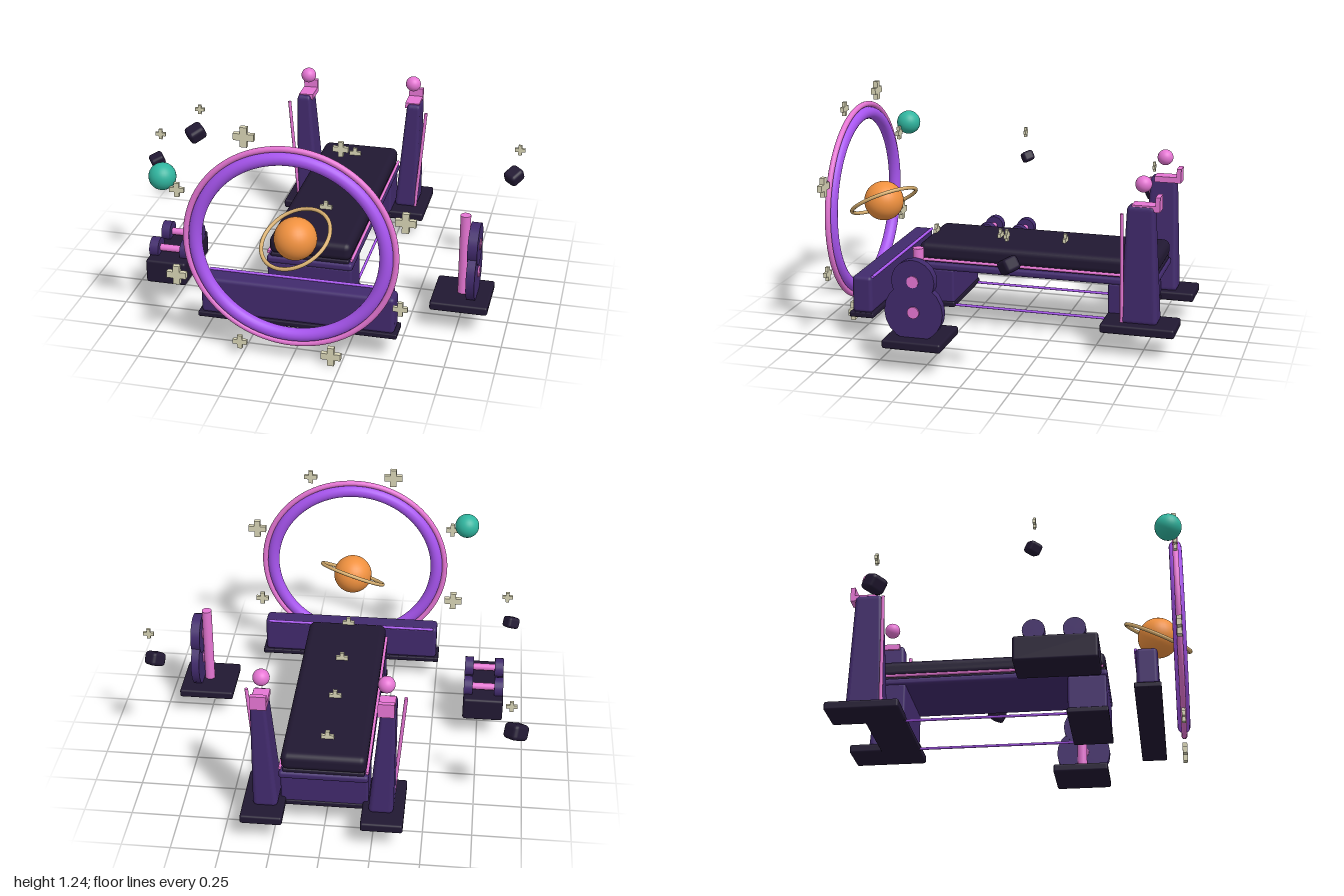
import * as THREE from 'three';
import { RoundedBoxGeometry } from 'three/addons/geometries/RoundedBoxGeometry.js';

const mat = (color) => new THREE.MeshStandardMaterial({ color });
const DARK = mat(0x211832), PURPLE = mat(0x412a6c), VIOLET = mat(0xa855f0), PINK = mat(0xe676d4);
const ORANGE = mat(0xf0913f), TAN = mat(0xd9b070), TEAL = mat(0x30b59f), CREAM = mat(0xd9d5b6);

export function createModel() {
  const model = new THREE.Group();

  function add(name, geometry, material, x = 0, y = 0, z = 0) {
    const mesh = new THREE.Mesh(geometry, material);
    mesh.name = name;
    mesh.position.set(x, y, z);
    model.add(mesh);
    return mesh;
  }
  // Rounded block given by its extents on each axis
  function block(name, material, [x0, x1], [y0, y1], [z0, z1], r = 0.01) {
    const g = new RoundedBoxGeometry(x1 - x0, y1 - y0, z1 - z0, 3, r);
    return add(name, g, material, (x0 + x1) / 2, (y0 + y1) / 2, (z0 + z1) / 2);
  }
  // Straight round bar between two points
  function bar(name, material, a, b, r) {
    const p = new THREE.Vector3(...a), q = new THREE.Vector3(...b);
    const d = q.clone().sub(p);
    const m = add(name, new THREE.CylinderGeometry(r, r, d.length(), 20), material);
    m.position.copy(p).add(q).multiplyScalar(0.5);
    m.quaternion.setFromUnitVectors(new THREE.Vector3(0, 1, 0), d.normalize());
    return m;
  }
  const ball = (name, material, r, x, y, z) =>
    add(name, new THREE.SphereGeometry(r, 32, 20), material, x, y, z);

  // Plus-shaped star, one unit wide
  const w = 0.17, plus = new THREE.Shape();
  [[-w, 0.5], [-w, w], [-0.5, w], [-0.5, -w], [-w, -w], [-w, -0.5],
    [w, -0.5], [w, -w], [0.5, -w], [0.5, w], [w, w], [w, 0.5]]
    .forEach(([x, y], i) => (i ? plus.lineTo(x, y) : plus.moveTo(x, y)));
  const starGeometry = new THREE.ExtrudeGeometry(plus, { depth: 0.25, bevelEnabled: false });
  starGeometry.translate(0, 0, -0.125);
  function star(x, y, z, size) {
    add('star', starGeometry, CREAM, x, y, z).scale.setScalar(size);
  }

  // Portal ring with stars around it
  add('portalRing', new THREE.TorusGeometry(0.472, 0.033, 20, 96), VIOLET, 0, 0.625, 0.856);
  add('portalRim', new THREE.TorusGeometry(0.52, 0.015, 14, 96), PINK, 0, 0.625, 0.856);
  [[-0.214, 1.19, 0.1], [0.25, 1.174, 0.072], [-0.556, 0.88, 0.072], [-0.577, 0.415, 0.1],
    [0.562, 0.83, 0.1], [0.545, 0.366, 0.072], [0.203, 0.055, 0.1], [-0.262, 0.075, 0.072]]
    .forEach(([x, y, s]) => star(x, y, 0.856, s));

  // Ringed planet and moon
  ball('planet', ORANGE, 0.107, 0, 0.625, 0.745);
  const orbit = add('planetRing', new THREE.TorusGeometry(0.183, 0.01, 12, 72), TAN, 0, 0.625, 0.745);
  orbit.quaternion.setFromUnitVectors(new THREE.Vector3(0, 0, 1),
    new THREE.Vector3(-0.29, 0.85, 0.43).normalize());
  ball('moon', TEAL, 0.067, -0.637, 0.928, 0.825);

  // Low wall under the portal
  block('wallBase', DARK, [-0.51, 0.51], [0.13, 0.157], [0.625, 0.757], 0.006);
  block('wall', PURPLE, [-0.495, 0.495], [0.15, 0.347], [0.637, 0.745], 0.02);
  bar('wallTrim', VIOLET, [-0.475, 0.345, 0.637], [0.475, 0.345, 0.637], 0.008);

  // Bench
  block('benchPad', DARK, [-0.215, 0.215], [0.375, 0.472], [-0.795, 0.475], 0.035);
  block('benchFrame', PURPLE, [-0.225, 0.225], [0.328, 0.368], [-0.8, 0.485], 0.016);
  block('benchPlate', DARK, [-0.205, 0.205], [0.36, 0.385], [-0.79, 0.475], 0.008);
  for (const z of [0.38, -0.65]) {
    block('benchLeg', PURPLE, [-0.222, 0.222], [0.15, 0.335], [z - 0.1, z + 0.1], 0.012);
    block('benchFoot', DARK, [-0.228, 0.228], [0.13, 0.16], [z - 0.105, z + 0.105], 0.008);
  }
  for (const s of [-1, 1]) {
    bar('benchTrim', PINK, [s * 0.218, 0.383, 0.465], [s * 0.218, 0.383, -0.785], 0.008);
    bar('floorRod', VIOLET, [s * 0.2, 0.138, 0.35], [s * 0.2, 0.138, -0.6], 0.007);
  }
  for (const z of [-0.63, -0.27, 0.087, 0.447]) star(-0.005, 0.482, z, 0.065);

  // Bar hook: L profile seen from the side
  const hook = new THREE.Shape();
  [[0.69, 0.762], [0.832, 0.762], [0.832, 0.838], [0.808, 0.838], [0.808, 0.793], [0.69, 0.793]]
    .forEach(([x, y], i) => (i ? hook.lineTo(x, y) : hook.moveTo(x, y)));
  const hookGeometry = new THREE.ExtrudeGeometry(hook, { depth: 0.08, bevelEnabled: false });
  hookGeometry.translate(0, 0, -0.04).rotateY(Math.PI / 2);

  // Tapered uprights with hooks, floating balls and side rods
  for (const s of [-1, 1]) {
    block('uprightBase', DARK, s > 0 ? [0.195, 0.407] : [-0.407, -0.195], [0.13, 0.178], [-0.928, -0.548], 0.012);
    const g = new RoundedBoxGeometry(0.128, 0.62, 0.195, 4, 0.025);
    const p = g.attributes.position;
    for (let i = 0; i < p.count; i++) {
      const t = (p.getY(i) + 0.31) / 0.62;
      p.setX(i, p.getX(i) * (1 - 0.42 * t) + s * 0.028 * t);
      p.setZ(i, p.getZ(i) * (1 - 0.3 * t));
    }
    g.computeVertexNormals();
    add('upright', g, PURPLE, s * 0.29, 0.478, -0.735);
    add('barHook', hookGeometry, PINK, s * 0.308, 0, 0);
    ball('hookBall', PINK, 0.042, s * 0.303, 0.892, -0.74);
    bar('sideRod', PINK, [s * 0.394, 0.757, -0.65], [s * 0.345, 0.17, -0.65], 0.009);
  }

  // Dumbbells on a tray
  block('dumbbellTray', DARK, [-0.885, -0.668], [0.13, 0.26], [0.077, 0.48], 0.014);
  for (const z of [0.178, 0.37]) {
    bar('dumbbellHandle', PINK, [-0.86, 0.287, z], [-0.69, 0.287, z], 0.019);
    for (const x of [-0.858, -0.692])
      bar('dumbbellHead', PURPLE, [x - 0.024, 0.287, z], [x + 0.024, 0.287, z], 0.054);
  }

  // Plate stand
  block('standBase', DARK, [0.615, 0.912], [0.13, 0.176], [0.127, 0.43], 0.012);
  bar('standPost', PINK, [0.765, 0.17, 0.28], [0.765, 0.615, 0.28], 0.027);
  for (const [y, r, h] of [[0.306, 0.15, 0.022], [0.463, 0.11, 0.025]]) {
    bar('weightPlate', PURPLE, [0.819 - h, y, 0.285], [0.819 + h, y, 0.285], r);
    bar('plateHub', PINK, [0.79, y, 0.285], [0.849, y, 0.285], 0.03);
  }

  // Floating rocks, each with a small star nearby
  [[-0.9, 0.706, 0.182, 0.074], [-0.94, 0.54, -0.573, 0.103], [0.945, 0.622, -0.23, 0.09]]
    .forEach(([x, y, z, size], i) => {
      const g = new RoundedBoxGeometry(size, size * 0.8, size * 0.9, 2, size * 0.22);
      add('rock', g, DARK, x, y, z).rotation.set(0.35, 0.6 + i * 0.15, 0.2);
    });
  star(-0.872, 0.858, 0.186, 0.055);
  star(-0.908, 0.69, -0.573, 0.055);
  star(0.97, 0.774, -0.228, 0.055);

  return model;
}
